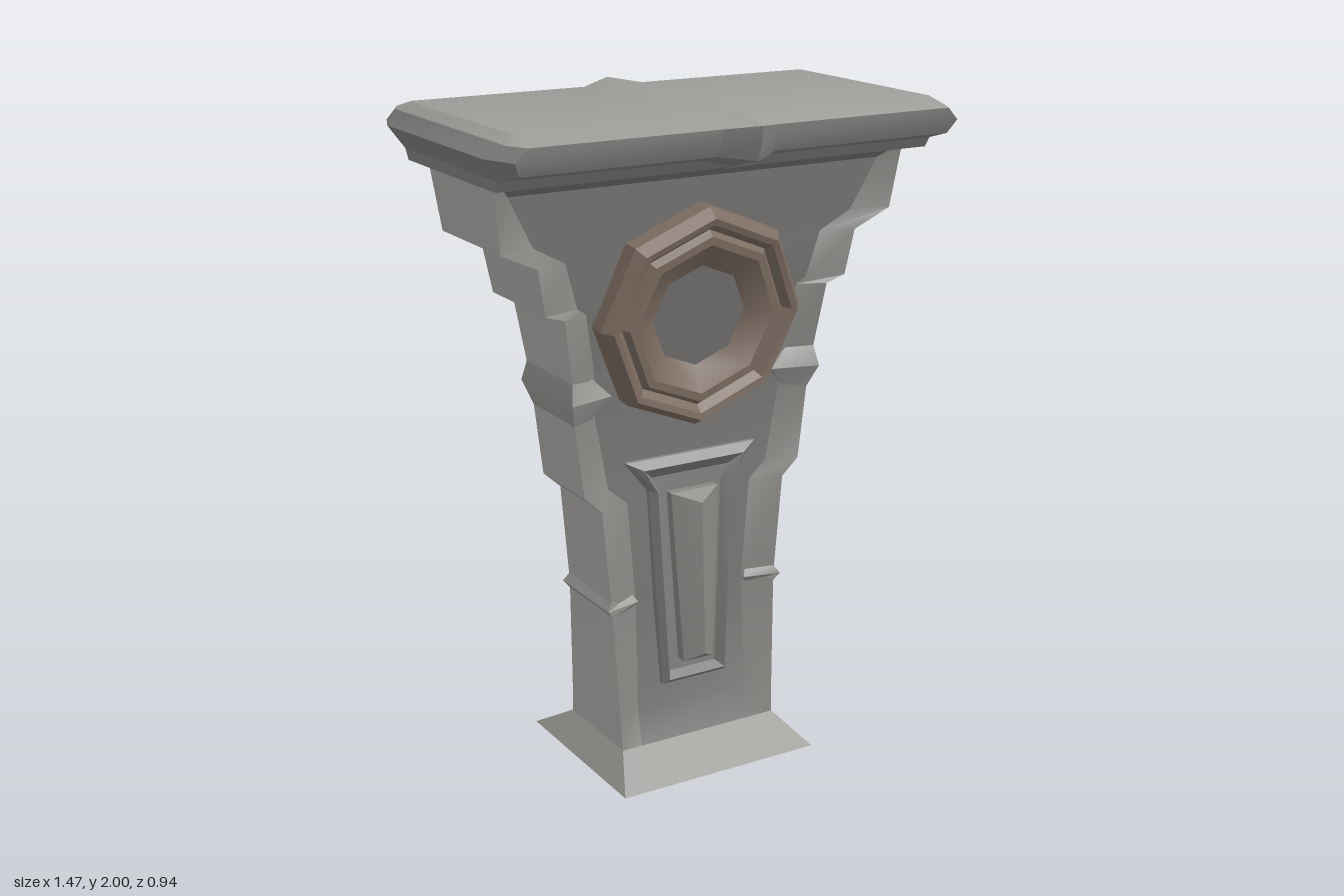
import * as THREE from 'three';
import { toCreasedNormals } from 'three/addons/utils/BufferGeometryUtils.js';

const stone = (color) => new THREE.MeshStandardMaterial({ color });
const sideStone = stone(0xaeadaa);
const topStone = stone(0x9e9d9a);
const footStone = stone(0x979693);
const rimStone = stone(0x888784);
const mouldingStone = stone(0x82817f);
const fieldStone = stone(0x777674);
const centreStone = stone(0x706f6e);
const bronze = stone(0x7c6c61);

function part(name, geometry, material) {
  const mesh = new THREE.Mesh(toCreasedNormals(geometry, 0.5), material);
  mesh.name = name;
  return mesh;
}

// Skin rings of points (counter-clockwise seen from the last ring). Closed rings
// get both ends filled with strips between opposite points.
function loft(rings, closed = true) {
  const n = rings[0].length, index = [];
  const quad = (a, b, c, d) => index.push(a, b, c, a, c, d);
  for (let r = 0; r < rings.length - 1; r++) {
    for (let i = 0; i < (closed ? n : n - 1); i++) {
      const j = (i + 1) % n, a = r * n, b = a + n;
      quad(a + i, a + j, b + j, b + i);
    }
  }
  const last = (rings.length - 1) * n;
  for (let i = 0; closed && i < n / 2 - 1; i++) {
    const j = n - 1 - i;
    quad(last + i, last + i + 1, last + j - 1, last + j);
    quad(j, j - 1, i + 1, i);
  }
  const g = new THREE.BufferGeometry();
  g.setAttribute('position', new THREE.Float32BufferAttribute(rings.flat(2), 3));
  g.setIndex(index);
  return g;
}

// Pillar body: height, half width, rim depth, field half width, field depth
function createBody() {
  const rings = [
    [0, 0.33, 0.29, 0.26, 0.29],
    [0.08, 0.265, 0.16, 0.2, 0.16],
    [0.18, 0.268, 0.153, 0.19, 0.12],
    [0.53, 0.282, 0.133, 0.185, 0.1],
    [0.84, 0.31, 0.13, 0.21, 0.1],
    [0.89, 0.365, 0.13, 0.27, 0.095],
    [1.11, 0.393, 0.127, 0.31, 0.095],
    [1.24, 0.405, 0.142, 0.315, 0.105],
    [1.43, 0.435, 0.16, 0.35, 0.125],
    [1.45, 0.495, 0.165, 0.38, 0.13],
    [1.585, 0.52, 0.175, 0.42, 0.14],
    [1.64, 0.635, 0.185, 0.52, 0.148],
    [1.79, 0.655, 0.2, 0.6, 0.165],
    [1.83, 0.66, 0.205, 0.64, 0.205],
  ].map(([y, w, d, wi, di]) => [
    [-w, y, d], [-wi, y, di], [wi, y, di], [w, y, d],
    [w, y, -d], [wi, y, -di], [-wi, y, -di], [-w, y, -d],
  ]);
  const body = new THREE.Group();
  body.name = 'body';
  body.add(part('foot', loft(rings.slice(0, 2)), footStone));

  // Field, sloping rims and sides, one strip per ring edge
  const rim = ['rim', rimStone], field = ['field', fieldStone], side = ['side', sideStone];
  [rim, field, rim, side, rim, field, rim, side].forEach(([name, material], i) => {
    const strip = rings.slice(1).map((ring) => [ring[i], ring[(i + 1) % 8]]);
    body.add(part(name, loft(strip, false), material));
  });
  return body;
}

// Pointed bands wrapping each side: height, inner x and z, outer x and z
function createBands() {
  const bands = new THREE.Group();
  bands.name = 'sideBands';
  const lower = [
    [0.505, 0.2, 0.1, 0.28, 0.133],
    [0.53, 0.185, 0.116, 0.3, 0.143],
    [0.555, 0.2, 0.1, 0.283, 0.133],
  ];
  const upper = [
    [1.11, 0.33, 0.1, 0.393, 0.127],
    [1.18, 0.27, 0.122, 0.415, 0.16],
    [1.24, 0.33, 0.108, 0.405, 0.142],
  ];
  for (const rows of [lower, upper]) {
    for (const turn of [0, Math.PI]) {
      const band = part('sideBand', loft(rows.map(([y, xi, zi, x, z]) => [
        [xi, y, zi], [x, y, z], [x, y, -z], [xi, y, -zi],
      ])), footStone);
      band.rotation.y = turn;
      bands.add(band);
    }
  }
  return bands;
}

// Cap slab: height, half width, half depth, depth at the central rib,
// corner cut in x and z, extra height at the rib
function createCap() {
  const rings = [
    [1.83, 0.69, 0.28, 0.29, 0.005, 0.005, 0],
    [1.86, 0.69, 0.3, 0.33, 0.005, 0.005, -0.015],
    [1.885, 0.705, 0.39, 0.45, 0.03, 0.08, -0.01],
    [1.925, 0.735, 0.41, 0.465, 0.04, 0.1, 0],
    [1.961, 0.69, 0.413, 0.47, 0.03, 0.06, 0.01],
    [1.984, 0.66, 0.33, 0.38, 0.01, 0.01, 0.016],
  ].map(([y, w, d, rib, cx, cz, up]) => {
    const front = [
      [-w, y, d - cz], [cx - w, y, d], [-0.09, y, d], [0, y + up, rib],
      [0.09, y, d], [w - cx, y, d], [w, y, d - cz],
    ];
    return [...front, ...front.map(([x, h, z]) => [x, h, -z]).reverse()];
  });
  const cap = new THREE.Group();
  cap.name = 'cap';
  cap.add(part('capMoulding', loft(rings.slice(0, 5)), mouldingStone));
  cap.add(part('capTop', loft(rings.slice(4)), topStone));
  return cap;
}

// Ring from the right half of an outline, bottom to top, set on the sloping face
function mirrored(half, z) {
  const right = half.map(([x, y]) => [x, y, z + (0.6 - y) * 0.03]);
  return [...right, ...right.map(([x, y, d]) => [-x, y, d]).reverse()];
}

function createFaceOrnaments() {
  const face = new THREE.Group();

  // Tapered frame with a sunken middle
  const outer = [[0.11, 0.25], [0.145, 0.87], [0.22, 0.965]];
  const crest = [[0.097, 0.268], [0.126, 0.865], [0.17, 0.94]];
  const inner = [[0.078, 0.285], [0.105, 0.86], [0.13, 0.905]];
  face.add(part('panelFrame', loft([
    mirrored(outer, 0.07), mirrored(outer, 0.12), mirrored(crest, 0.142),
    mirrored(inner, 0.112),
  ]), mouldingStone));

  // Ridged bar inside the frame
  const [w0, w1] = [0.05, 0.08];
  face.add(part('panelBar', loft([
    [[-w0, 0.32, 0.09], [w0, 0.32, 0.09], [w1, 0.855, 0.09], [-w1, 0.855, 0.09]],
    [[-w0, 0.32, 0.155], [w0, 0.32, 0.155], [w1, 0.855, 0.13], [-w1, 0.855, 0.13]],
    [[0, 0.35, 0.195], [0, 0.35, 0.195], [0, 0.825, 0.175], [0, 0.825, 0.175]],
  ]), rimStone));

  // Eight-sided medallion tilted with the upper face
  const medallion = new THREE.Group();
  medallion.name = 'medallion';
  const profile = [
    [0.33, -0.03], [0.33, 0.05], [0.305, 0.085], [0.285, 0.08], [0.265, 0.055],
    [0.25, 0.075], [0.225, 0.075], [0.15, 0.03],
  ].map(([r, z]) => new THREE.Vector2(r, z));
  medallion.add(part('medallionRing', new THREE.LatheGeometry(profile, 8).rotateX(Math.PI / 2), bronze));
  medallion.add(part('medallionCentre', new THREE.CircleGeometry(0.152, 8).translate(0, 0, 0.031), centreStone));
  medallion.position.set(0, 1.39, 0.12);
  medallion.rotation.x = 0.12;
  face.add(medallion);
  return face;
}

export function createModel() {
  const model = new THREE.Group();
  model.name = 'pillar';
  model.add(createBody(), createBands(), createCap());

  // Same ornaments on front and back
  ['frontOrnaments', 'backOrnaments'].forEach((name, i) => {
    const face = createFaceOrnaments();
    face.name = name;
    face.rotation.y = i * Math.PI;
    model.add(face);
  });
  return model;
}
